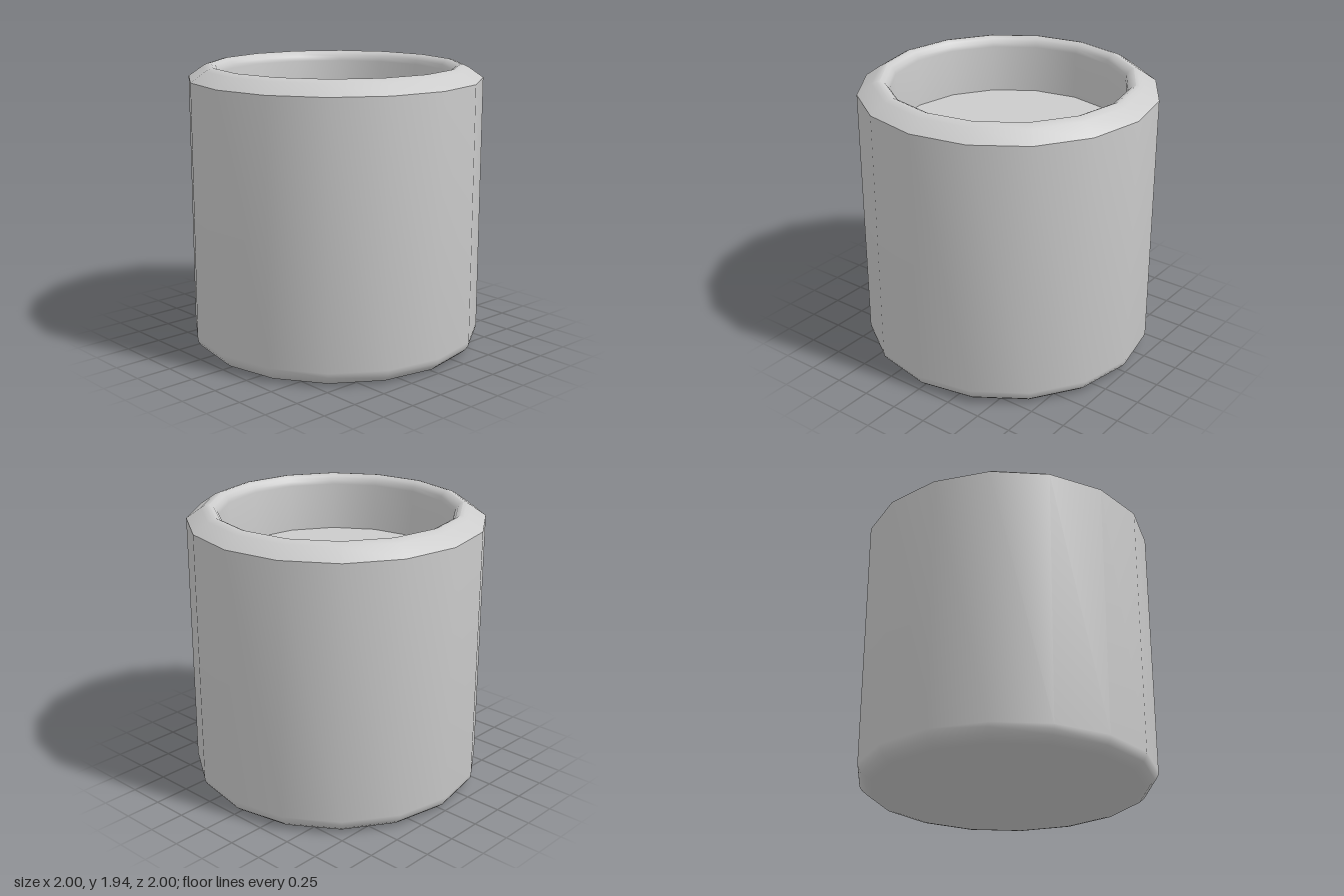
import * as THREE from 'three';
import { toCreasedNormals } from 'three/addons/utils/BufferGeometryUtils.js';

const SIDES = 16;

export function createModel() {
  const group = new THREE.Group();
  group.name = 'cup';
  const material = new THREE.MeshStandardMaterial({ color: 0xcccccc });

  // One closed profile turned round the axis, from base centre to floor centre
  const profile = [
    [0, 0],
    // rounded foot
    [0.9, 0], [0.94, 0.01], [0.975, 0.04], [0.995, 0.07], [1, 0.1],
    // wall and bevelled shoulder
    [1, 1.85], [0.9, 1.92],
    // rounded lip
    [0.87, 1.935], [0.845, 1.94], [0.815, 1.925], [0.795, 1.9], [0.79, 1.87],
    // shallow recess
    [0.79, 1.54], [0, 1.54],
  ].map(([r, y]) => new THREE.Vector2(r, y));

  const lathe = new THREE.LatheGeometry(profile, SIDES);
  const body = new THREE.Mesh(toCreasedNormals(lathe, THREE.MathUtils.degToRad(38)), material);
  body.name = 'cupBody';
  group.add(body);
  return group;
}
